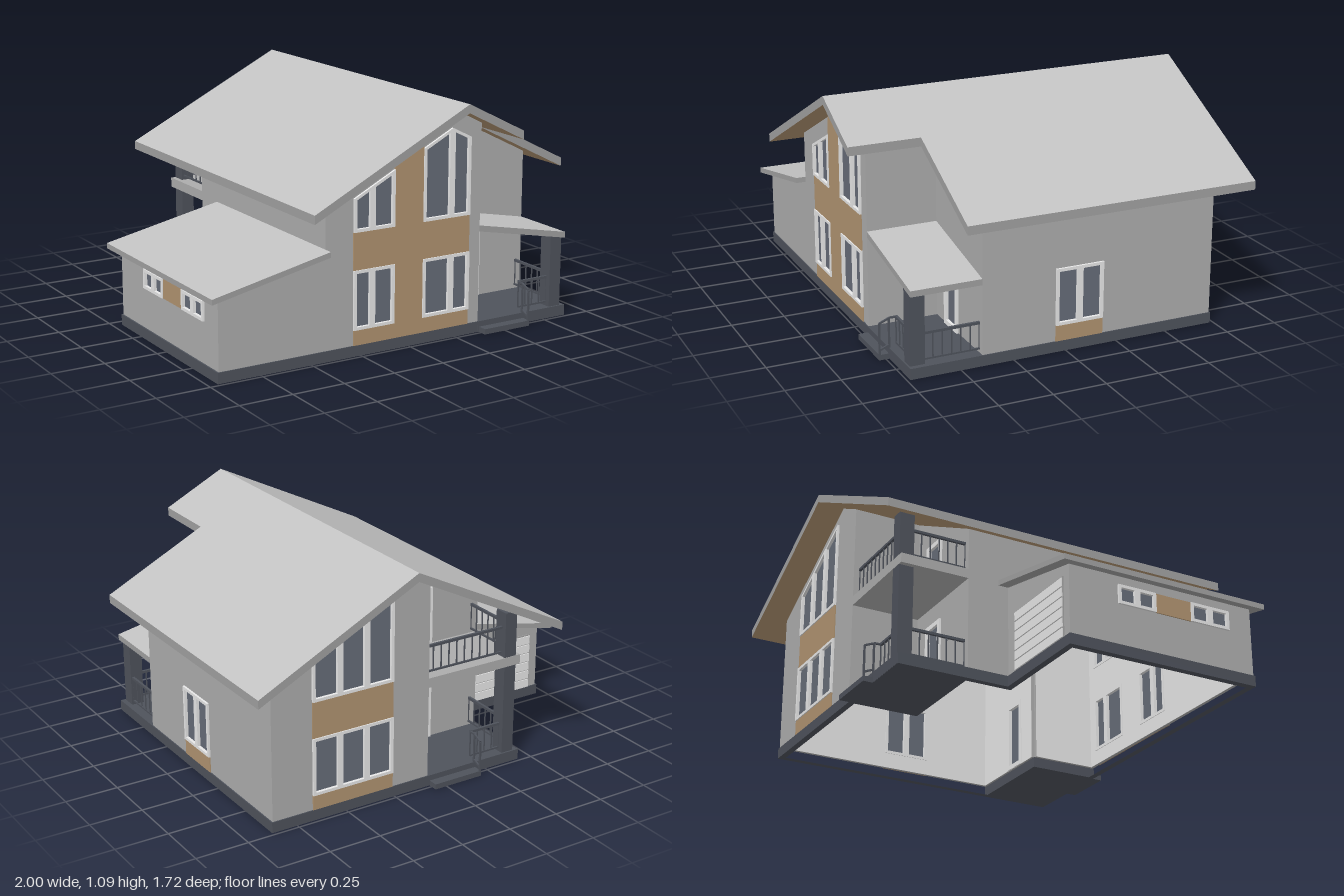
import * as THREE from 'three';

const mat = (name, color, side = THREE.FrontSide) => {
  const m = new THREE.MeshStandardMaterial({ color, side });
  m.name = name;
  return m;
};

export function createModel() {
  const house = new THREE.Group();
  house.name = 'house';
  const render = mat('wall render', 0xacacac);
  const lining = mat('white lining', 0xeeeeee, THREE.DoubleSide);
  const frameWhite = mat('white frame', 0xeeeeee);
  const wood = mat('wood cladding', 0xb09370);
  const glass = mat('window glass', 0x666c78, THREE.DoubleSide);
  const dark = mat('dark stone', 0x4e525b);
  const roofTop = mat('roof sheet', 0xc2c2c2);
  const fascia = mat('roof fascia', 0xa0a0a0);

  const add = (parent, name, geo, material) => {
    const m = new THREE.Mesh(geo, material);
    m.name = name;
    parent.add(m);
    return m;
  };
  // box given by its two opposite corners
  const box = (parent, name, material, [x0, y0, z0], [x1, y1, z1]) => {
    const m = add(parent, name, new THREE.BoxGeometry(x1 - x0, y1 - y0, z1 - z0), material);
    m.position.set((x0 + x1) / 2, (y0 + y1) / 2, (z0 + z1) / 2);
    return m;
  };
  const poly = (pts, holes = []) => {
    const s = new THREE.Shape(pts.map(p => new THREE.Vector2(...p)));
    s.holes = holes.map(h => new THREE.Path(h.map(p => new THREE.Vector2(...p))));
    return s;
  };
  const plate = (shape, back, front) =>
    new THREE.ExtrudeGeometry(shape, { depth: front - back, bevelEnabled: false }).translate(0, 0, back);
  const rect = (u0, v0, u1, v1) => [[u0, v0], [u1, v0], [u1, v1], [u0, v1]];

  // sloping slab: plan outline in (x, z), height rule, vertical thickness; groups are top, sides, underside
  function slab(name, plan, height, thick, materials) {
    const geo = plate(poly(plan.map(([x, z]) => [x, -z])), 0, 1).rotateX(-Math.PI / 2);
    const p = geo.attributes.position, caps = geo.groups[0];
    const half = caps.count / 2, sides = geo.groups[1];
    for (let i = 0; i < p.count; i++) p.setY(i, height(p.getX(i)) - (p.getY(i) > 0.5 ? 0 : thick));
    geo.computeVertexNormals();
    geo.clearGroups();
    geo.addGroup(0, half, 2);
    geo.addGroup(half, half, 0);
    geo.addGroup(sides.start, sides.count, 1);
    return add(house, name, geo, materials);
  }

  // window whose head may follow the roof; cuts are the mullion positions
  const pane = (a, b, v0, head, peak, w) => {
    const pts = [[a + w, v0 + w], [b - w, v0 + w], [b - w, head(b - w) - w]];
    if (peak > a + w + 0.001 && peak < b - w - 0.001) pts.push([peak, head(peak) - w]);
    pts.push([a + w, head(a + w) - w]);
    return pts;
  };
  const win = (u0, u1, v0, head, cuts = [], peak = 99, w = 0.014) => {
    const h = typeof head === 'number' ? () => head : head;
    const e = [u0, ...cuts, u1];
    return {
      outline: pane(u0, u1, v0, h, peak, 0),
      panes: e.slice(1).map((b, i) => pane(e[i], b, v0, h, peak, w)),
    };
  };

  // wall drawn in its own plane, turned to face outwards
  const FRONT = 0, BACK = Math.PI, RIGHT = Math.PI / 2, LEFT = -Math.PI / 2;
  function wall(name, angle, distance, outline, windows = [], cladding = []) {
    const g = new THREE.Group();
    g.name = name;
    const shape = poly(outline, windows.map(w => w.outline));
    add(g, 'render', plate(shape, -0.015, 0), render);
    add(g, 'lining', new THREE.ShapeGeometry(shape).translate(0, 0, -0.017), lining);
    for (const w of windows) {
      add(g, 'windowFrame', plate(poly(w.outline, w.panes), -0.02, 0.01), frameWhite);
      add(g, 'windowGlass', new THREE.ShapeGeometry(poly(w.outline)).translate(0, 0, -0.004), glass);
    }
    for (const c of cladding) add(g, 'woodPanel', plate(poly(c), 0, 0.005), wood);
    g.rotation.y = angle;
    g.position.set(Math.sin(angle) * distance, 0, Math.cos(angle) * distance);
    house.add(g);
    return g;
  }

  // main roof and ceiling
  const RX = 0.22;
  const roofY = x => 1.09 - 0.5 * Math.abs(x - RX);
  const under = x => roofY(x) - 0.04;
  const roofMats = [roofTop, fascia, wood];
  slab('roofLeft', rect(-0.56, -0.86, RX, 0.86), roofY, 0.04, roofMats);
  slab('roofRight', [[RX, -0.86], [1, -0.86], [1, 0.525], [0.515, 0.525], [0.515, 0.86], [RX, 0.86]],
    roofY, 0.04, roofMats);
  const ceilY = x => under(x) - 0.001;
  slab('ceilingLeft', [[-0.42, -0.39], [0.08, -0.39], [0.08, -0.72], [RX, -0.72], [RX, 0.72], [-0.42, 0.72]],
    ceilY, 0.003, [lining, lining, lining]);
  slab('ceilingRight', [[RX, -0.72], [0.86, -0.72], [0.86, 0.39], [0.37, 0.39], [0.37, 0.72], [RX, 0.72]],
    ceilY, 0.003, [lining, lining, lining]);

  // garage and porch roofs
  const garageY = x => 0.505 + 0.21 * (x + 0.43);
  slab('garageRoof', rect(-1, -0.25, -0.43, 0.775), garageY, 0.025, [roofTop, fascia, fascia]);
  slab('porchRoof', rect(0.38, 0.4, 0.872, 0.73), x => 0.5 - 0.2 * (x - 0.38), 0.028, [roofTop, fascia, fascia]);

  // front gable
  const head = x => 0.965 - 0.5 * Math.abs(x - RX);
  wall('frontWall', FRONT, 0.73,
    [[-0.43, 0.05], [0.38, 0.05], [0.38, under(0.38)], [RX, under(RX)], [-0.43, under(-0.43)]],
    [win(-0.29, -0.08, 0.56, head, [-0.195]), win(0.07, 0.32, 0.56, head, [RX], RX),
      win(-0.29, -0.08, 0.12, 0.39, [-0.195]), win(0.07, 0.32, 0.12, 0.39, [RX])],
    [rect(-0.29, 0.05, 0.32, 0.12), rect(-0.29, 0.39, 0.32, 0.56), rect(-0.08, 0.12, 0.07, 0.39),
      [[-0.08, 0.56], [0.07, 0.56], [0.07, under(0.07)], [-0.08, under(-0.08)]]]);
  wall('porchWall', FRONT, 0.4, [[0.38, 0.05], [0.87, 0.05], [0.87, under(0.87)], [0.38, under(0.38)]],
    [win(0.48, 0.62, 0.051, 0.39, [], 99, 0.022)]);
  wall('porchSideWall', RIGHT, 0.38, rect(-0.73, 0.05, -0.4, under(0.38)));

  // right side
  wall('rightWall', RIGHT, 0.87, rect(-0.4, 0.05, 0.73, under(0.87)),
    [win(-0.05, 0.18, 0.125, 0.39, [0.065])], [rect(-0.05, 0.05, 0.18, 0.125)]);

  // back gable, drawn with u = -x
  const backHead = u => 1 - 0.5 * Math.abs(u + RX);
  const thirds = [-0.533, -0.397];
  wall('backWall', BACK, 0.73,
    [[-0.87, 0.05], [-0.07, 0.05], [-0.07, under(0.07)], [-RX, under(RX)], [-0.87, under(0.87)]],
    [win(-0.67, -0.26, 0.56, backHead, thirds), win(-0.67, -0.26, 0.12, 0.39, thirds)],
    [rect(-0.67, 0.05, -0.26, 0.12), rect(-0.67, 0.39, -0.26, 0.56)]);
  wall('balconyWall', BACK, 0.4, [[-0.07, 0.05], [0.43, 0.05], [0.43, under(-0.43)], [-0.07, under(0.07)]],
    [win(0.03, 0.17, 0.051, 0.39, [], 99, 0.022), win(0.03, 0.17, 0.53, 0.8, [], 99, 0.022)]);
  wall('balconySideWall', LEFT, -0.07, rect(-0.73, 0.05, -0.4, under(0.07)));

  // left side, open to the garage below its roof
  wall('leftWall', LEFT, 0.43, [[-0.4, 0.05], [-0.2, 0.05], [-0.2, 0.48], [0.73, 0.48],
    [0.73, under(-0.43)], [-0.4, under(-0.43)]]);

  // garage
  const gLow = garageY(-0.95) - 0.025, gHigh = 0.48;
  wall('garageFrontWall', FRONT, 0.73, [[-0.95, 0.05], [-0.43, 0.05], [-0.43, gHigh], [-0.95, gLow]]);
  wall('garageLeftWall', LEFT, 0.95, rect(-0.2, 0.05, 0.73, gLow),
    [win(0.04, 0.23, 0.24, 0.33, [0.135]), win(0.41, 0.61, 0.24, 0.33, [0.51])], [rect(0.23, 0.24, 0.41, 0.33)]);
  const garageBack = wall('garageBackWall', BACK, 0.2, [[0.43, 0.05], [0.95, 0.05], [0.95, gLow], [0.43, gHigh]]);
  for (let i = 0; i < 6; i++) {
    const y = 0.052 + i * 0.0465;
    box(garageBack, 'garageDoorSlat', frameWhite, [0.5, y, 0], [0.9, y + 0.041, 0.009]);
  }
  box(garageBack, 'garageDoorBacking', fascia, [0.495, 0.05, 0], [0.905, 0.332, 0.004]);

  // plinth ring along the outside walls
  const ring = poly(
    [[-0.957, 0.205], [-0.435, 0.205], [-0.435, 0.735], [0.875, 0.735], [0.875, -0.735], [-0.957, -0.735]],
    [[[-0.925, 0.175], [-0.405, 0.175], [-0.405, 0.705], [0.845, 0.705], [0.845, -0.705], [-0.925, -0.705]]]);
  add(house, 'plinth', plate(ring, 0, 0.05).rotateX(-Math.PI / 2), dark);

  // railings
  const bar = (parent, a, b, r = 0.008) => {
    const p = new THREE.Vector3(...a), q = new THREE.Vector3(...b);
    const m = add(parent, 'railBar', new THREE.BoxGeometry(r, r, p.distanceTo(q)), dark);
    m.position.copy(p).lerp(q, 0.5);
    m.lookAt(q);
  };
  function railing(parent, [x0, z0], [x1, z1], y0, y1) {
    const g = new THREE.Group();
    g.name = 'railing';
    bar(g, [x0, y0, z0], [x1, y0, z1]);
    bar(g, [x0, y1, z0], [x1, y1, z1], 0.012);
    const n = Math.max(2, Math.round(Math.hypot(x1 - x0, z1 - z0) / 0.042));
    for (let i = 0; i <= n; i++) {
      const x = x0 + (x1 - x0) * i / n, z = z0 + (z1 - z0) * i / n;
      bar(g, [x, y0, z], [x, y1, z], 0.005);
    }
    parent.add(g);
  }

  // corner porch: floor, step, column and railings
  function porch(name, columnTop) {
    const g = new THREE.Group();
    g.name = name;
    box(g, 'porchFloor', dark, [0.378, 0.001, 0.395], [0.876, 0.051, 0.736]);
    box(g, 'step', dark, [0.385, 0, 0.73], [0.635, 0.025, 0.782]);
    box(g, 'column', dark, [0.79, 0.05, 0.658], [0.852, columnTop, 0.728]);
    railing(g, [0.63, 0.7], [0.79, 0.7], 0.07, 0.19);
    railing(g, [0.84, 0.4], [0.84, 0.66], 0.07, 0.19);
    bar(g, [0.63, 0.19, 0.7], [0.63, 0.19, 0.73]);
    bar(g, [0.63, 0.19, 0.73], [0.63, 0.17, 0.778]);
    bar(g, [0.63, 0.065, 0.73], [0.63, 0.045, 0.778]);
    for (const z of [0.733, 0.778]) bar(g, [0.63, 0.02, z], [0.63, z > 0.75 ? 0.17 : 0.19, z]);
    house.add(g);
    return g;
  }
  porch('frontPorch', 0.39);
  const back = porch('backPorch', 0.74);
  back.rotation.y = Math.PI;
  back.position.x = 0.445;

  // balcony over the back porch
  box(house, 'balconyFloor', render, [-0.43, 0.48, -0.73], [0.07, 0.525, -0.4]);
  railing(house, [0.07, -0.7], [-0.35, -0.7], 0.545, 0.665);
  railing(house, [-0.395, -0.66], [-0.395, -0.4], 0.545, 0.665);

  return house;
}
